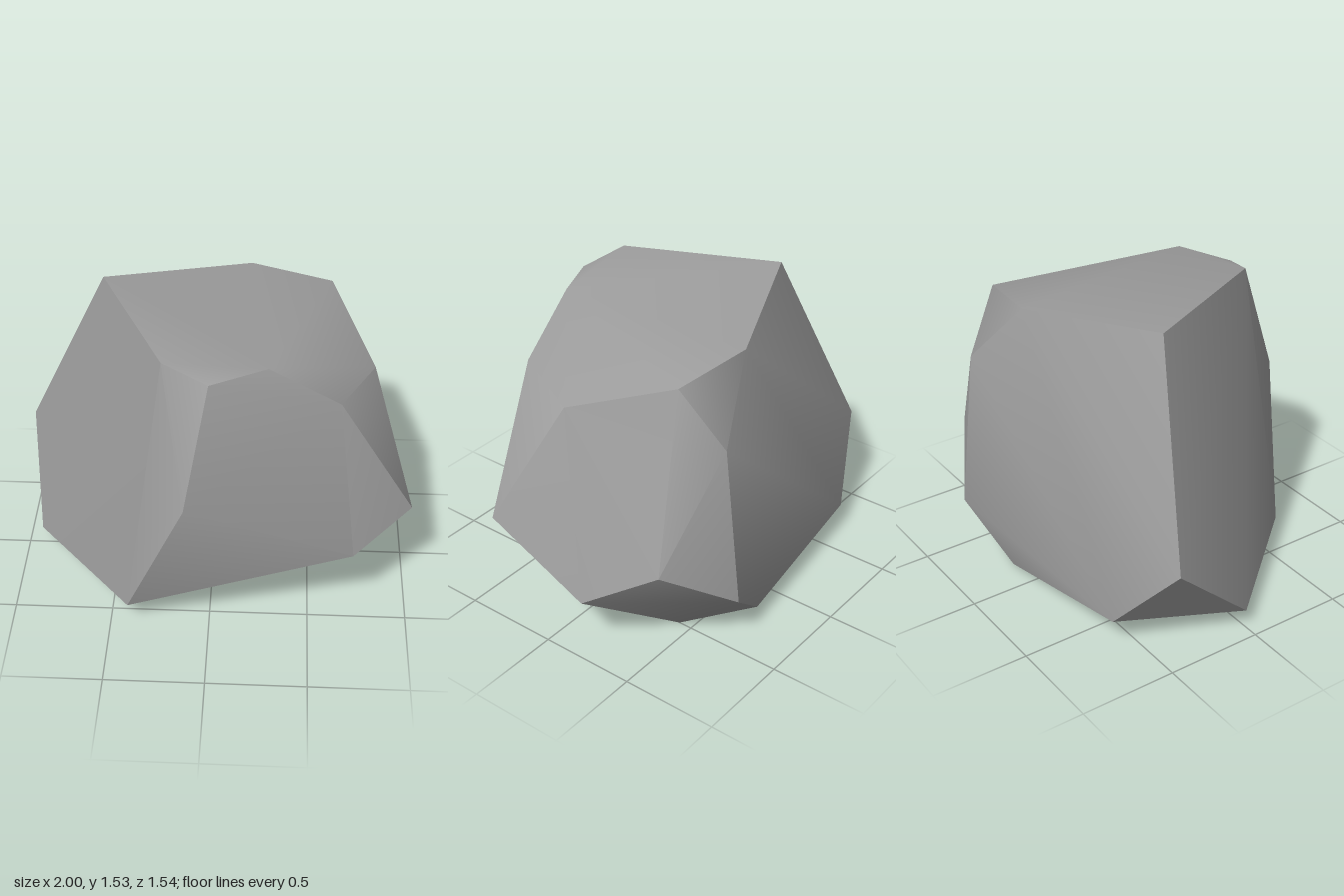
import * as THREE from 'three';
import { ConvexGeometry } from 'three/addons/geometries/ConvexGeometry.js';
import { toCreasedNormals } from 'three/addons/utils/BufferGeometryUtils.js';

// Corners of the faceted boulder
const corners = [
  // top rim
  [-0.56, 1.53, -0.25], [-0.22, 1.535, 0.49], [0, 1.475, 0.575], [0.27, 1.49, 0.45],
  [0.615, 1.265, 0.4], [0.79, 1.22, 0.02], [0.58, 1.4, -0.48], [0.17, 1.45, -0.555],
  // front
  [-0.11, 0.89, 0.77], [0.71, 0.46, 0.555], [-0.41, 0.13, 0.61],
  // left side
  [1, 0.59, 0.325], [0.99, 0.325, -0.22], [0.83, 0.53, -0.56],
  // back
  [0.48, 1.1, -0.68], [0.48, 0.28, -0.77], [-0.68, 0.15, -0.62],
  // right side
  [-1, 0.53, -0.46], [-0.925, 0.1, 0],
  // underside
  [0.5, 0, -0.43], [0.17, 0.01, -0.67],
];

export function createModel() {
  const stone = new THREE.MeshStandardMaterial({ color: 0x9c9c9c });
  stone.name = 'greyStone';

  // Hull with sharp breaks between the main facets and soft shading within them
  const hull = new ConvexGeometry(corners.map(c => new THREE.Vector3(...c)));
  const boulder = new THREE.Mesh(toCreasedNormals(hull, 0.6), stone);
  boulder.name = 'boulder';

  const group = new THREE.Group();
  group.name = 'rock';
  group.add(boulder);
  return group;
}
